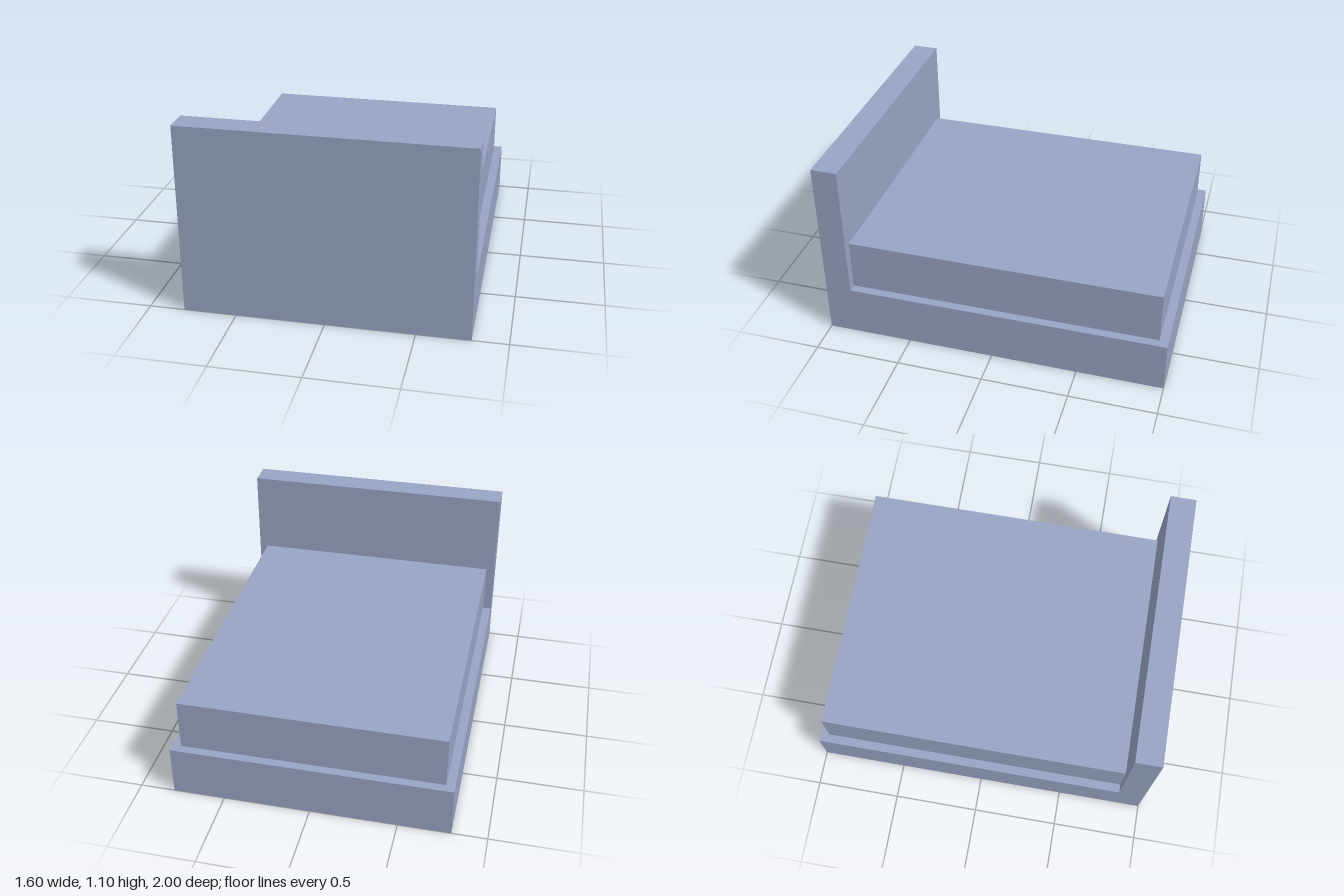
import * as THREE from 'three';

export function createModel() {
  const bed = new THREE.Group();
  bed.name = 'bed';

  const blueGrey = new THREE.MeshStandardMaterial({ color: 0x98a2c3 });
  blueGrey.name = 'blue grey';

  const width = 1.6, baseHeight = 0.3, headboardHeight = 1.1;
  const headZ = 1, headInnerZ = 0.85, footZ = -1, inset = 0.05;

  // Base and headboard: one L-shaped side profile (z, y) extruded across the width
  const profile = new THREE.Shape([
    [footZ, 0], [headZ, 0], [headZ, headboardHeight],
    [headInnerZ, headboardHeight], [headInnerZ, baseHeight], [footZ, baseHeight],
  ].map(([z, y]) => new THREE.Vector2(z, y)));
  const frameGeometry = new THREE.ExtrudeGeometry(profile, { depth: width, bevelEnabled: false });
  frameGeometry.rotateY(-Math.PI / 2).translate(width / 2, 0, 0);
  const frame = new THREE.Mesh(frameGeometry, blueGrey);
  frame.name = 'baseAndHeadboard';
  bed.add(frame);

  // Mattress: inset at the sides and foot, touching the headboard
  const mattressHeight = 0.3;
  const mattressLength = headInnerZ - (footZ + inset);
  const mattress = new THREE.Mesh(
    new THREE.BoxGeometry(width - 2 * inset, mattressHeight, mattressLength), blueGrey);
  mattress.position.set(0, baseHeight + mattressHeight / 2, headInnerZ - mattressLength / 2);
  mattress.name = 'mattress';
  bed.add(mattress);

  return bed;
}
